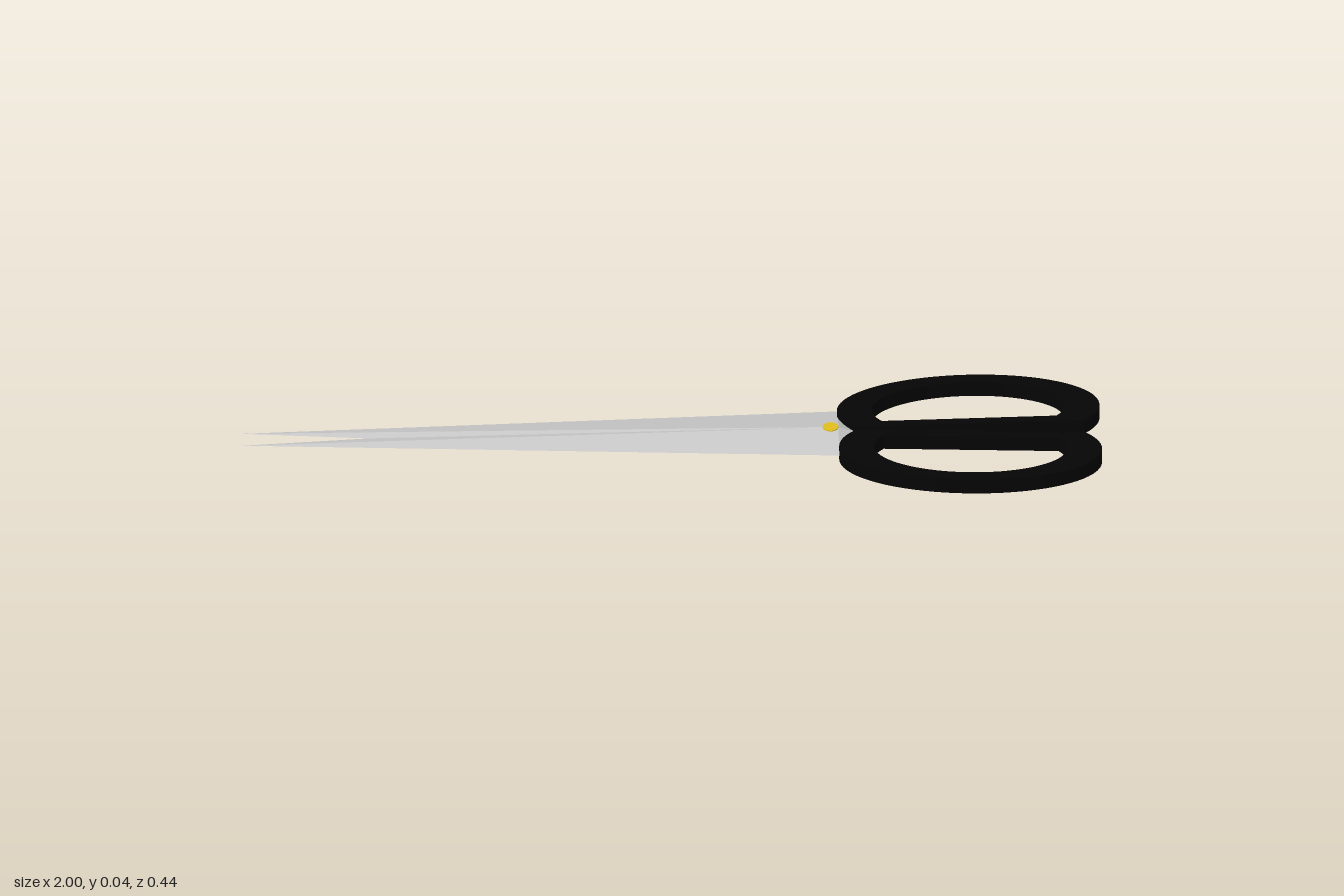
import * as THREE from 'three';

const steel = new THREE.MeshStandardMaterial({ color: 0xcccccc, flatShading: true });
const black = new THREE.MeshStandardMaterial({ color: 0x050505 });
const gold = new THREE.MeshStandardMaterial({ color: 0xe6c21c });

const PIVOT_Z = -0.012;

function addMesh(parent, name, geometry, material) {
  const mesh = new THREE.Mesh(geometry, material);
  mesh.name = name;
  parent.add(mesh);
  return mesh;
}

// Ellipse cut off by a straight chord at y = -cut, placed at (0.693, 0.083),
// turned by tilt and mirrored by side; always counter-clockwise
function dOutline(rx, ry, cut, side, tilt) {
  const start = -Math.asin(cut / ry);
  const points = [];
  const n = 48;
  for (let i = 0; i <= n; i++) {
    const a = start + (i / n) * (Math.PI - 2 * start);
    const p = new THREE.Vector2(rx * Math.cos(a), ry * Math.sin(a));
    p.rotateAround(new THREE.Vector2(), tilt);
    points.push(new THREE.Vector2(0.693 + p.x, side * (0.083 + p.y)));
  }
  return side > 0 ? points : points.reverse();
}

// D-shaped finger ring lying flat
function handleGeometry(side, tilt) {
  const shape = new THREE.Shape(dOutline(0.306, 0.138, 0.067, side, tilt));
  shape.holes.push(new THREE.Path(dOutline(0.225, 0.106, 0.045, side, tilt)));
  const geometry = new THREE.ExtrudeGeometry(shape, { depth: 0.038, bevelEnabled: false });
  geometry.rotateX(Math.PI / 2);
  geometry.translate(0, 0.038, 0);
  return geometry;
}

// Flattened four-sided spike, ridged along the middle; a negative length points towards +x
function spikeGeometry(length) {
  const geometry = new THREE.ConeGeometry(1, Math.abs(length), 4, 1, true);
  geometry.rotateZ(Math.sign(length) * Math.PI / 2);
  geometry.scale(1, 0.0185, 0.093);
  geometry.translate(-length / 2, 0, 0);
  return geometry;
}

export function createModel() {
  const group = new THREE.Group();
  group.name = 'scissors';

  // Crossed blades, slightly open, each with a short tang tapering between the rings
  [['backBlade', -0.0347], ['frontBlade', 0.0014]].forEach(([name, angle]) => {
    const blade = new THREE.Group();
    blade.name = name;
    addMesh(blade, 'edge', spikeGeometry(1.388), steel);
    addMesh(blade, 'tang', spikeGeometry(-0.05), steel);
    blade.position.set(0.388, 0.02, PIVOT_Z);
    blade.rotation.y = angle;
    group.add(blade);
  });

  // Finger rings
  addMesh(group, 'backHandle', handleGeometry(-1, 0.02), black);
  addMesh(group, 'frontHandle', handleGeometry(1, 0.06), black);

  // Pivot screw: stem and thin cap
  const screw = new THREE.Group();
  screw.name = 'pivotScrew';
  screw.position.set(0.37, 0, PIVOT_Z + 0.004);
  addMesh(screw, 'screwStem', new THREE.CylinderGeometry(0.006, 0.006, 0.02, 12), gold).position.y = 0.031;
  addMesh(screw, 'screwCap', new THREE.CylinderGeometry(0.0185, 0.0185, 0.002, 12), gold).position.y = 0.0415;
  group.add(screw);

  return group;
}
